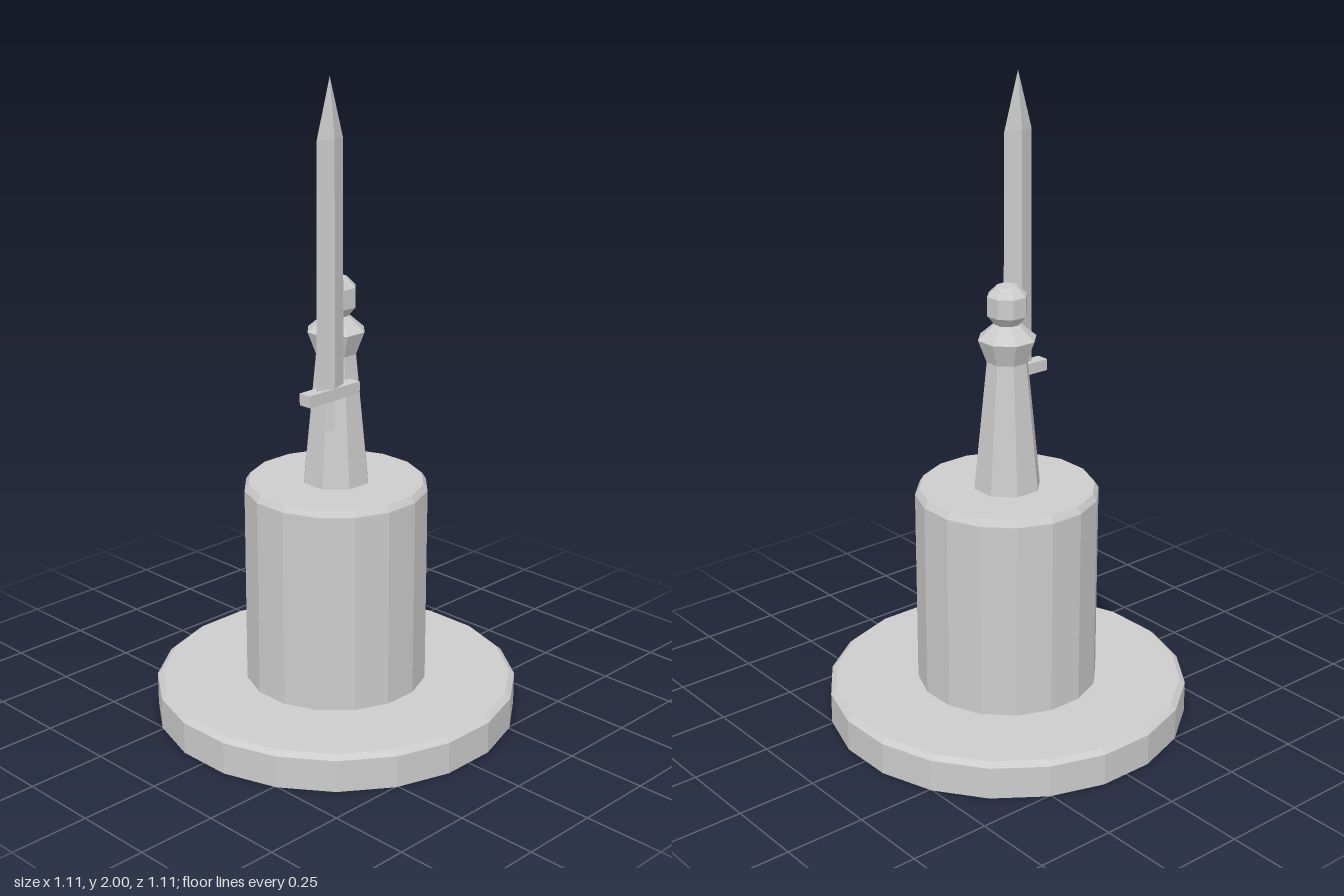
import * as THREE from 'three';

export function createModel() {
  const model = new THREE.Group();
  const stone = new THREE.MeshStandardMaterial({ color: 0xcccccc, flatShading: true });
  stone.name = 'pale grey stone';

  // Faceted turned solid from [radius, height] pairs, listed bottom to top
  function turned(name, sides, profile, startAngle, parent) {
    const points = profile.map(([r, y]) => new THREE.Vector2(r, y));
    const mesh = new THREE.Mesh(new THREE.LatheGeometry(points, sides, startAngle), stone);
    mesh.name = name;
    parent.add(mesh);
    return mesh;
  }

  // Wide round foot with bevelled rim
  turned('base', 20, [[0, 0], [0.564, 0], [0.564, 0.1], [0.547, 0.114], [0, 0.114]], Math.PI / 20, model);

  // Column with bevelled top
  turned('pedestal', 16, [[0, 0.114], [0.283, 0.114], [0.283, 0.737], [0.27, 0.757], [0, 0.757]], Math.PI / 16, model);

  // Eight-sided pawn figure
  const figure = new THREE.Group();
  figure.name = 'figure';
  model.add(figure);
  turned('body', 8, [[0, 0.757], [0.105, 0.757], [0.064, 1.16], [0.091, 1.23], [0.04, 1.275], [0, 1.275]], Math.PI / 8, figure);
  turned('head', 8, [[0, 1.272], [0.036, 1.272], [0.062, 1.303], [0.062, 1.363], [0.033, 1.392], [0, 1.392]], Math.PI / 8, figure);

  // Upright sword beside the figure
  const sword = new THREE.Group();
  sword.name = 'sword';
  sword.position.set(-0.118, 0, 0.093);
  model.add(sword);
  const blade = turned('blade', 4, [[0, 1.09], [0.056, 1.09], [0.052, 1.825], [0, 2]], 0, sword);
  blade.scale.z = 0.37;
  turned('grip', 4, [[0, 0.967], [0.02, 0.967], [0.02, 1.065], [0, 1.065]], 0, sword);
  const guard = new THREE.Mesh(new THREE.BoxGeometry(0.206, 0.036, 0.042), stone);
  guard.name = 'crossguard';
  guard.position.y = 1.078;
  sword.add(guard);

  return model;
}
